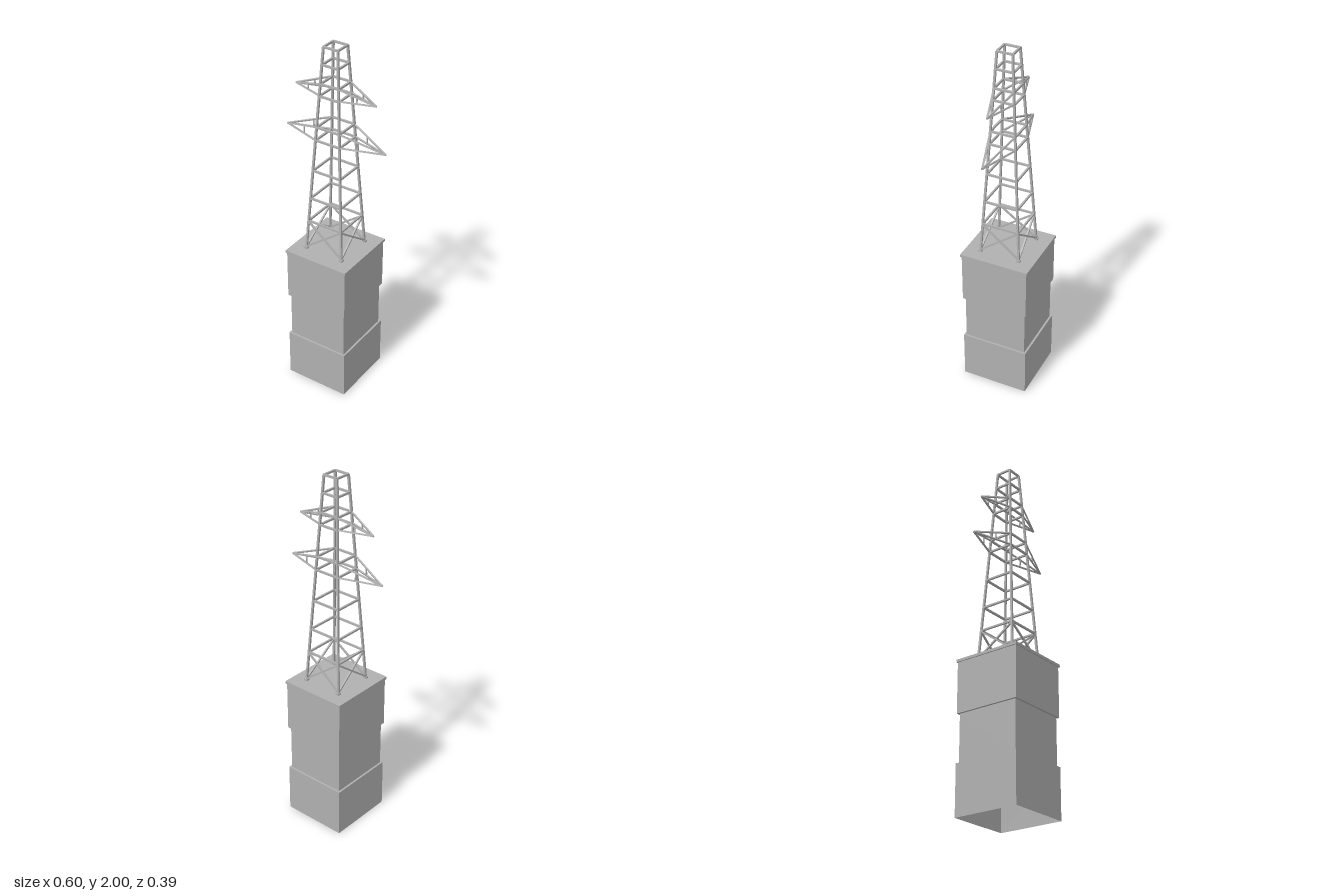
import * as THREE from 'three';

const steel = new THREE.MeshStandardMaterial({ color: 0xb0b0b0 });
steel.name = 'grey steel';
const concrete = new THREE.MeshStandardMaterial({ color: 0xb0b0b0, side: THREE.DoubleSide });
concrete.name = 'grey concrete';

const FOOT_Y = 0.84, TOP_Y = 1.995;
// half width of the tapering tower at height y
const halfWidth = (y) => THREE.MathUtils.mapLinear(y, FOOT_Y, TOP_Y, 0.112, 0.042);
const corner = (sx, sz, y) => new THREE.Vector3(sx * halfWidth(y), y, sz * halfWidth(y));

// square bar between two points
function bar(parent, name, a, b, size) {
  const dir = b.clone().sub(a);
  const mesh = new THREE.Mesh(new THREE.BoxGeometry(size, dir.length(), size), steel);
  mesh.name = name;
  mesh.position.copy(a).add(b).multiplyScalar(0.5);
  mesh.quaternion.setFromUnitVectors(new THREE.Vector3(0, 1, 0), dir.normalize());
  parent.add(mesh);
}

// stepped square pedestal, open underneath
function pedestal() {
  const profile = [
    [0.184, 0], [0.184, 0.278], [0.173, 0.278], [0.173, 0.542],
    [0.184, 0.542], [0.184, 0.825], [0.19, 0.825], [0.19, 0.84], [0, 0.84],
  ].map(([r, y]) => new THREE.Vector2(r * Math.SQRT2, y));
  const geo = new THREE.LatheGeometry(profile, 4, Math.PI / 4).toNonIndexed();
  geo.scale(1, 1, 1.025);
  geo.computeVertexNormals();
  const mesh = new THREE.Mesh(geo, concrete);
  mesh.name = 'pedestal';
  return mesh;
}

// pointed crossarm on one side: two lower and two upper chords with posts
function crossarm(side, lowY, highY, tipX, postX) {
  const arm = new THREE.Group();
  arm.name = side > 0 ? 'leftCrossarm' : 'rightCrossarm';
  const tip = new THREE.Vector3(side * tipX, lowY, 0);
  for (const sz of [-1, 1]) {
    const low = corner(side, sz, lowY), high = corner(side, sz, highY);
    bar(arm, 'lowerChord', low, tip, 0.008);
    bar(arm, 'upperChord', high, tip, 0.008);
    const at = (p) => p.clone().lerp(tip, (side * postX - p.x) / (tip.x - p.x));
    bar(arm, 'armPost', at(low), at(high), 0.006);
  }
  return arm;
}

export function createModel() {
  const model = new THREE.Group();
  model.name = 'pylonOnPedestal';
  model.add(pedestal());

  const tower = new THREE.Group();
  tower.name = 'tower';
  model.add(tower);

  const corners = [[1, 1], [1, -1], [-1, -1], [-1, 1]];
  corners.forEach(([sx, sz], i) => {
    const [nx, nz] = corners[(i + 1) % 4];

    // leg and its foot plate
    bar(tower, 'leg', corner(sx, sz, FOOT_Y), corner(sx, sz, TOP_Y), 0.011);
    const foot = new THREE.Mesh(new THREE.BoxGeometry(0.02, 0.01, 0.02), steel);
    foot.name = 'footPlate';
    foot.position.copy(corner(sx, sz, FOOT_Y)).setY(FOOT_Y + 0.005);
    tower.add(foot);

    // horizontal rails on this face
    for (const y of [1.013, 1.15, 1.315, 1.49, 1.563, 1.735, 1.8, 1.902, TOP_Y]) {
      bar(tower, 'rail', corner(sx, sz, y), corner(nx, nz, y), 0.01);
    }

    // crossed braces at the foot of this face
    bar(tower, 'brace', corner(sx, sz, 0.85), corner(nx, nz, 1.008), 0.009);
    bar(tower, 'brace', corner(nx, nz, 0.85), corner(sx, sz, 1.008), 0.009);
  });

  for (const side of [-1, 1]) {
    tower.add(crossarm(side, 1.49, 1.563, 0.298, 0.163));
    tower.add(crossarm(side, 1.738, 1.8, 0.238, 0.144));
  }
  return model;
}
